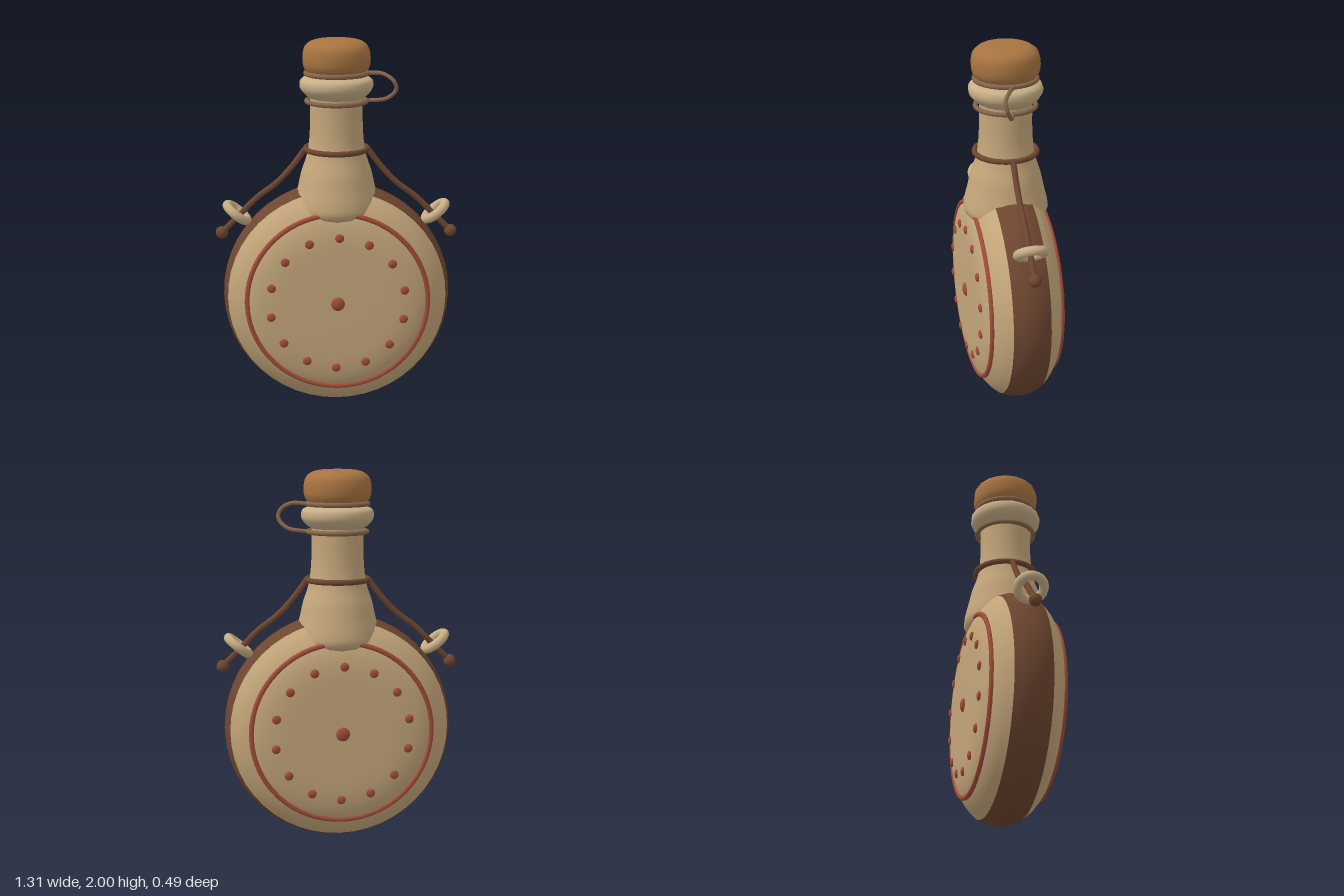
import * as THREE from 'three';

const mat = (color) => new THREE.MeshStandardMaterial({ color });
const V = (x, y, z = 0) => new THREE.Vector3(x, y, z);

export function createModel() {
  const root = new THREE.Group();
  const tan = mat(0xc4a67a), brown = mat(0x6e4630), red = mat(0xa04c38);
  const cork = mat(0xa87440), cord = mat(0x86664a), bone = mat(0xc8ae86);

  const add = (name, geometry, material, parent = root) => {
    const mesh = new THREE.Mesh(geometry, material);
    mesh.name = name;
    parent.add(mesh);
    return mesh;
  };
  // smooth lathe through [radius, height] points
  const lathe = (pts, segments, samples) => {
    const curve = new THREE.CatmullRomCurve3(pts.map(([r, h]) => V(r, h)), false, 'centripetal');
    const profile = curve.getPoints(samples).map((p) => new THREE.Vector2(Math.max(p.x, 0), p.y));
    return new THREE.LatheGeometry(profile, segments);
  };
  const tube = (pts, radius) =>
    new THREE.TubeGeometry(new THREE.CatmullRomCurve3(pts), 28, radius, 8);
  // horizontal ring round the neck
  const neckRing = (name, y, radius, thickness, material) => {
    const ring = add(name, new THREE.TorusGeometry(radius, thickness, 8, 28), material);
    ring.rotation.x = Math.PI / 2;
    ring.position.y = y;
  };

  // round flattened body, its axis along z
  const body = new THREE.Group();
  body.name = 'body';
  body.position.y = 0.62;
  root.add(body);
  const side = [[0.59, 0.1], [0.55, 0.143], [0.5, 0.178], [0.44, 0.205], [0.35, 0.222], [0.2, 0.226], [0, 0.226]];
  const rim = [[0.59, -0.1], [0.61, -0.05], [0.616, 0], [0.61, 0.05], [0.59, 0.1]];
  add('rimBand', lathe(rim, 48, 12), brown, body).rotation.x = Math.PI / 2;

  // both faces: shell, ring and studs
  for (const name of ['front', 'back']) {
    const face = new THREE.Group();
    face.name = name + 'Face';
    if (name === 'back') face.rotation.y = Math.PI;
    body.add(face);
    add('shell', lathe(side, 48, 24), tan, face).rotation.x = Math.PI / 2;
    add('faceRing', new THREE.TorusGeometry(0.483, 0.014, 8, 56), red, face).position.z = 0.187;
    const stud = (studName, x, y, z, r) => {
      const m = add(studName, new THREE.SphereGeometry(r, 10, 8), red, face);
      m.position.set(x, y, z);
      m.scale.z = 0.5;
    };
    stud('centreStud', 0, 0, 0.225, 0.038);
    for (let i = 0; i < 14; i++) {
      const a = 0.2 + (i * Math.PI * 2) / 14;
      stud('stud', 0.363 * Math.cos(a), 0.363 * Math.sin(a), 0.222, 0.024);
    }
  }

  // flared neck and its lip
  add('neck', lathe([[0.14, 1.04], [0.2, 1.06], [0.226, 1.1], [0.222, 1.15], [0.205, 1.22], [0.187, 1.3],
    [0.16, 1.38], [0.146, 1.46], [0.14, 1.55], [0.139, 1.64], [0.139, 1.84]], 20, 36), tan);
  add('neckLip', lathe([[0.135, 1.69], [0.165, 1.71], [0.19, 1.74], [0.195, 1.765], [0.188, 1.79],
    [0.16, 1.805], [0.13, 1.81]], 20, 18), bone);

  // cork stopper
  add('cork', lathe([[0, 1.81], [0.14, 1.815], [0.165, 1.84], [0.178, 1.87], [0.179, 1.92], [0.168, 1.96],
    [0.135, 1.988], [0.08, 2], [0, 2]], 18, 26), cork);

  // cord tying the cork to the neck
  neckRing('corkCord', 1.822, 0.162, 0.013, cord);
  neckRing('neckCord', 1.675, 0.158, 0.013, cord);
  add('cordLoop', tube([V(0.165, 1.822), V(0.24, 1.823, 0.04), V(0.295, 1.79, 0.073), V(0.31, 1.745, 0.065),
    V(0.265, 1.693, 0.035), V(0.16, 1.675)], 0.011), cord);

  // carrying strap with a lug and an end knot on each side
  neckRing('strapCollar', 1.42, 0.165, 0.015, brown);
  for (const s of [1, -1]) {
    const name = s > 0 ? 'left' : 'right';
    add(name + 'Strap', tube([V(s * 0.165, 1.42), V(s * 0.24, 1.32), V(s * 0.32, 1.235), V(s * 0.43, 1.15),
      V(s * 0.52, 1.06), V(s * 0.62, 0.96)], 0.016), brown);
    add(name + 'Knot', new THREE.SphereGeometry(0.034, 12, 10), brown).position.set(s * 0.62, 0.96, 0);
    const lug = add(name + 'Lug', new THREE.TorusGeometry(0.068, 0.025, 10, 24), bone);
    lug.position.set(s * 0.535, 1.07, 0);
    lug.rotation.set(Math.PI / 2, s * 0.68, 0, 'ZXY');
    lug.rotation.set(Math.PI / 2, 0, s * 0.68, 'ZXY');
  }
  return root;
}
